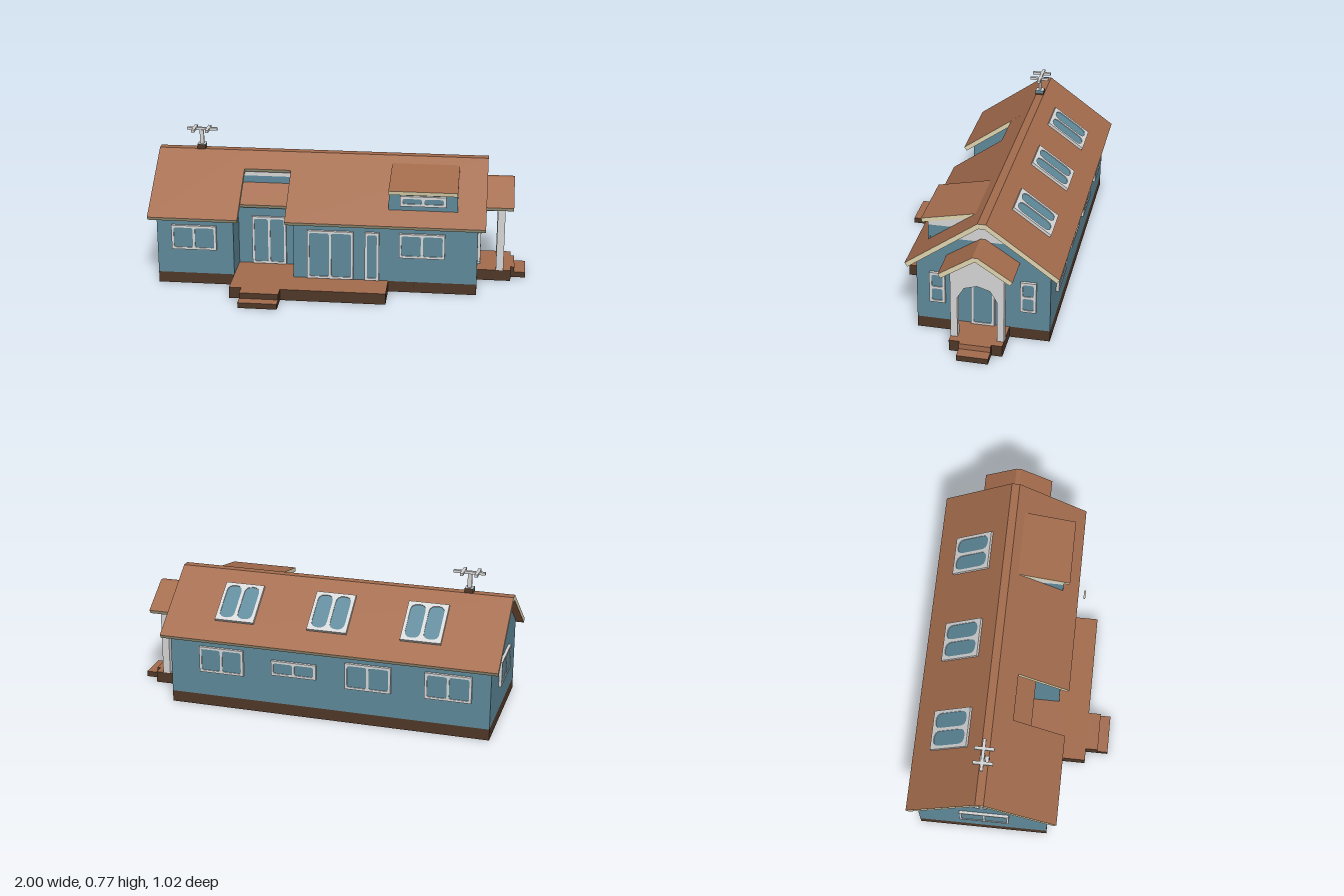
import * as THREE from 'three';

const mat = (name, color) => {
  const m = new THREE.MeshStandardMaterial({ color, side: THREE.DoubleSide });
  m.name = name;
  return m;
};

export function createModel() {
  const blue = mat('blue wall', 0x5f8a9b);
  const clay = mat('terracotta', 0xa46c4d);
  const brown = mat('dark brown', 0x503828);
  const grey = mat('light grey', 0xd6d7d6);
  const tan = mat('tan trim', 0xe2d8b2);
  const root = new THREE.Group();

  const add = (geo, m, name, parent = root) => {
    const mesh = new THREE.Mesh(geo, m);
    mesh.name = name;
    parent.add(mesh);
    return mesh;
  };
  // box from its limits
  const box = (name, m, x0, x1, y0, y1, z0, z1) => {
    const mesh = add(new THREE.BoxGeometry(x1 - x0, y1 - y0, z1 - z0), m, name);
    mesh.position.set((x0 + x1) / 2, (y0 + y1) / 2, (z0 + z1) / 2);
    return mesh;
  };
  // plate drawn in (z, y) and given thickness from x0 to x1
  const plate = (name, m, pts, x0, x1) => {
    const shape = new THREE.Shape(pts.map(p => new THREE.Vector2(...p)));
    const geo = new THREE.ExtrudeGeometry(shape, { depth: x1 - x0, bevelEnabled: false });
    geo.rotateY(-Math.PI / 2).translate(x1, 0, 0);
    return add(geo, m, name);
  };
  // sloping roof slab: top surface runs from (zA, yA) to (zB, yB)
  const roofMats = [tan, tan, clay, clay, tan, tan];
  const slab = (name, x0, x1, zA, yA, zB, yB, t = 0.025) => {
    const len = Math.hypot(zB - zA, yB - yA);
    const geo = new THREE.BoxGeometry(x1 - x0, t, len).translate(0, -t / 2, 0);
    const mesh = add(geo, roofMats, name);
    const dir = zA > zB ? 1 : -1;
    mesh.rotation.x = dir * Math.atan2(yB - yA, Math.abs(zB - zA));
    mesh.position.set((x0 + x1) / 2, (yA + yB) / 2, (zA + zB) / 2);
    return mesh;
  };
  // rounded rectangle path
  const rounded = (path, x, y, w, h, r) => {
    path.moveTo(x + r, y);
    path.lineTo(x + w - r, y);
    path.quadraticCurveTo(x + w, y, x + w, y + r);
    path.lineTo(x + w, y + h - r);
    path.quadraticCurveTo(x + w, y + h, x + w - r, y + h);
    path.lineTo(x + r, y + h);
    path.quadraticCurveTo(x, y + h, x, y + h - r);
    path.lineTo(x, y + r);
    path.quadraticCurveTo(x, y, x + r, y);
    return path;
  };
  // framed window or door facing its own +z
  const glazed = (name, w, h, cols, rows, x, y, z, ry = 0, r = 0.013, border = 0.012) => {
    const g = new THREE.Group();
    g.name = name;
    const frame = new THREE.Shape([[-1, -1], [1, -1], [1, 1], [-1, 1]]
      .map(([a, b]) => new THREE.Vector2(a * w / 2, b * h / 2)));
    const pw = (w - border * (cols + 1)) / cols, ph = (h - border * (rows + 1)) / rows;
    for (let i = 0; i < cols; i++) for (let j = 0; j < rows; j++) {
      frame.holes.push(rounded(new THREE.Path(), -w / 2 + border + i * (pw + border),
        -h / 2 + border + j * (ph + border), pw, ph, Math.min(r, pw / 2.1, ph / 2.1)));
    }
    add(new THREE.ExtrudeGeometry(frame, { depth: 0.015, bevelEnabled: false, curveSegments: 4 }), grey, name + ' frame', g);
    add(new THREE.BoxGeometry(w - 0.004, h - 0.004, 0.008), blue, name + ' glass', g).position.z = 0.007;
    g.position.set(x, y, z);
    g.rotation.order = 'YXZ';
    g.rotation.y = ry;
    root.add(g);
    return g;
  };

  // foundation band
  box('foundationBack', brown, -0.96, 0.74, 0, 0.06, -0.46, -0.45);
  box('foundationFrontLeft', brown, -0.23, 0.74, 0, 0.06, 0.21, 0.22);
  box('foundationFrontRight', brown, -0.96, -0.55, 0, 0.06, 0.21, 0.22);
  for (const x of [-0.96, 0.73]) box('foundationEnd', brown, x, x + 0.01, 0, 0.06, -0.45, 0.21);

  // long walls
  box('backWall', blue, -0.96, 0.74, 0.06, 0.395, -0.46, -0.45);
  box('frontWallLeft', blue, -0.23, 0.74, 0.06, 0.395, 0.21, 0.22);
  box('frontWallRight', blue, -0.96, -0.55, 0.06, 0.395, 0.21, 0.22);

  // gable ends, grey at the top
  for (const x of [-0.96, 0.73]) {
    plate('gableWall', blue, [[0.22, 0.06], [0.22, 0.395], [0.025, 0.535], [-0.265, 0.535], [-0.46, 0.395], [-0.46, 0.06]], x, x + 0.01);
    plate('gableTop', grey, [[0.03, 0.535], [-0.12, 0.645], [-0.27, 0.535]], x, x + 0.01);
  }

  // recessed entrance
  for (const x of [-0.56, -0.23]) {
    plate('recessSide', blue, [[0.22, 0.06], [0.22, 0.395], [0.025, 0.535], [-0.03, 0.57], [-0.03, 0.06]], x, x + 0.01);
  }
  box('recessWall', blue, -0.55, -0.23, 0.06, 0.42, 0.04, 0.05);
  box('recessUpperWall', blue, -0.55, -0.23, 0.45, 0.535, -0.04, -0.03);
  box('recessUpperTrim', grey, -0.55, -0.23, 0.535, 0.575, -0.04, -0.03);
  slab('recessRoof', -0.55, -0.23, 0.09, 0.411, -0.03, 0.497);

  // main roof, cut open above the recess
  slab('roofBack', -1, 0.78, -0.51, 0.39, -0.143, 0.655);
  slab('roofFrontRight', -1, -0.52, 0.27, 0.39, -0.1, 0.655);
  slab('roofFrontLeft', -0.27, 0.78, 0.27, 0.39, -0.1, 0.655);
  slab('roofFrontMiddle', -0.52, -0.27, 0, 0.583, -0.1, 0.655);
  box('ridge', roofMats, -1, 0.78, 0.628, 0.655, -0.143, -0.1);

  // dormer
  box('dormerFace', blue, 0.27, 0.63, 0.44, 0.535, 0.175, 0.185);
  box('dormerFaceTop', grey, 0.27, 0.63, 0.535, 0.552, 0.175, 0.185);
  for (const x of [0.271, 0.619]) {
    plate('dormerSide', blue, [[0.18, 0.44], [0.18, 0.535], [0.055, 0.535]], x, x + 0.01);
    plate('dormerSideTop', grey, [[0.18, 0.535], [0.18, 0.555], [-0.04, 0.605], [0.055, 0.535]], x, x + 0.01);
  }
  slab('dormerRoof', 0.27, 0.63, 0.22, 0.567, -0.06, 0.625, 0.022);
  glazed('dormerWindow', 0.24, 0.055, 2, 1, 0.45, 0.505, 0.183, 0, 0.014, 0.013);

  // front windows and doors
  glazed('frontWindow', 0.24, 0.135, 2, 1, -0.76, 0.268, 0.22);
  glazed('frontWindow', 0.24, 0.135, 2, 1, 0.45, 0.268, 0.22);
  glazed('recessDoor', 0.185, 0.27, 2, 1, -0.383, 0.2, 0.05);
  glazed('terraceDoor', 0.245, 0.27, 2, 1, -0.033, 0.2, 0.22);
  glazed('sideDoor', 0.075, 0.27, 1, 1, 0.188, 0.2, 0.22);

  // back windows
  for (const x of [0.457, -0.33, -0.745]) glazed('backWindow', 0.24, 0.14, 2, 1, x, 0.265, -0.46, Math.PI);
  glazed('backSmallWindow', 0.24, 0.08, 2, 1, 0.064, 0.262, -0.46, Math.PI);

  // end windows and front door
  for (const z of [0.112, -0.35]) glazed('endWindow', 0.08, 0.17, 1, 2, 0.74, 0.25, z, Math.PI / 2);
  glazed('porchDoor', 0.118, 0.275, 1, 1, 0.74, 0.199, -0.12, Math.PI / 2);
  glazed('leftEndWindow', 0.26, 0.135, 2, 1, -0.96, 0.268, -0.11, -Math.PI / 2);
  const ring = add(new THREE.TorusGeometry(0.045, 0.01, 6, 12), grey, 'roundWindowFrame');
  ring.rotation.y = -Math.PI / 2;
  ring.position.set(-0.963, 0.515, -0.12);
  const disc = add(new THREE.CylinderGeometry(0.045, 0.045, 0.008, 12), blue, 'roundWindowGlass');
  disc.rotation.z = Math.PI / 2;
  disc.position.set(-0.963, 0.515, -0.12);

  // skylights on the back slope
  for (const x of [-0.585, -0.095, 0.4025]) {
    const s = glazed('skylight', 0.21, 0.236, 2, 1, x, 0.533, -0.313, Math.PI, 0.05, 0.017);
    s.rotation.x = -(Math.PI / 2 - Math.atan(0.716));
  }

  // porch
  const deckMats = [brown, brown, clay, clay, brown, brown];
  box('porchFloor', deckMats, 0.74, 0.92, 0, 0.06, -0.255, 0.015);
  box('porchUpperStep', [clay, brown, clay, clay, brown, brown], 0.92, 0.94, 0, 0.06, -0.2, -0.04);
  box('porchLowerStep', deckMats, 0.94, 1, 0, 0.03, -0.2, -0.04);
  plate('porchArch', grey, [
    [0.015, 0.06], [0.015, 0.447], [-0.12, 0.537], [-0.255, 0.447], [-0.255, 0.06], [-0.22, 0.06],
    [-0.22, 0.285], [-0.185, 0.345], [-0.12, 0.365], [-0.055, 0.345], [-0.02, 0.285], [-0.02, 0.06],
  ], 0.84, 0.88);
  for (const z of [-0.255, -0.005]) box('porchBeam', grey, 0.74, 0.84, 0.4, 0.435, z, z + 0.02);
  slab('porchRoofFront', 0.74, 0.923, 0.065, 0.437, -0.107, 0.55);
  slab('porchRoofBack', 0.74, 0.923, -0.305, 0.437, -0.133, 0.55);
  box('porchRidge', roofMats, 0.74, 0.923, 0.525, 0.55, -0.133, -0.107);

  // terrace and steps
  box('terrace', deckMats, -0.55, 0.274, 0, 0.061, -0.11, 0.39);
  box('terraceUpperStep', deckMats, -0.485, -0.28, 0, 0.061, 0.39, 0.455);
  box('terraceLowerStep', deckMats, -0.485, -0.28, 0, 0.03, 0.455, 0.51);
  const stake = add(new THREE.PlaneGeometry(0.01, 0.13), tan, 'gardenStake');
  stake.rotation.y = Math.PI / 2;
  stake.position.set(0.415, 0.065, 0.305);

  // roof aerial
  box('aerialBase', brown, -0.792, -0.748, 0.645, 0.665, -0.143, -0.097);
  box('aerialCap', [blue, blue, grey, grey, brown, brown], -0.792, -0.748, 0.665, 0.68, -0.143, -0.097);
  box('aerialPost', grey, -0.781, -0.759, 0.68, 0.757, -0.126, -0.114);
  box('aerialBoom', grey, -0.85, -0.685, 0.754, 0.768, -0.133, -0.117);
  for (const x of [-0.81, -0.735]) box('aerialArm', grey, x - 0.008, x + 0.008, 0.754, 0.768, -0.172, -0.07);

  return root;
}
